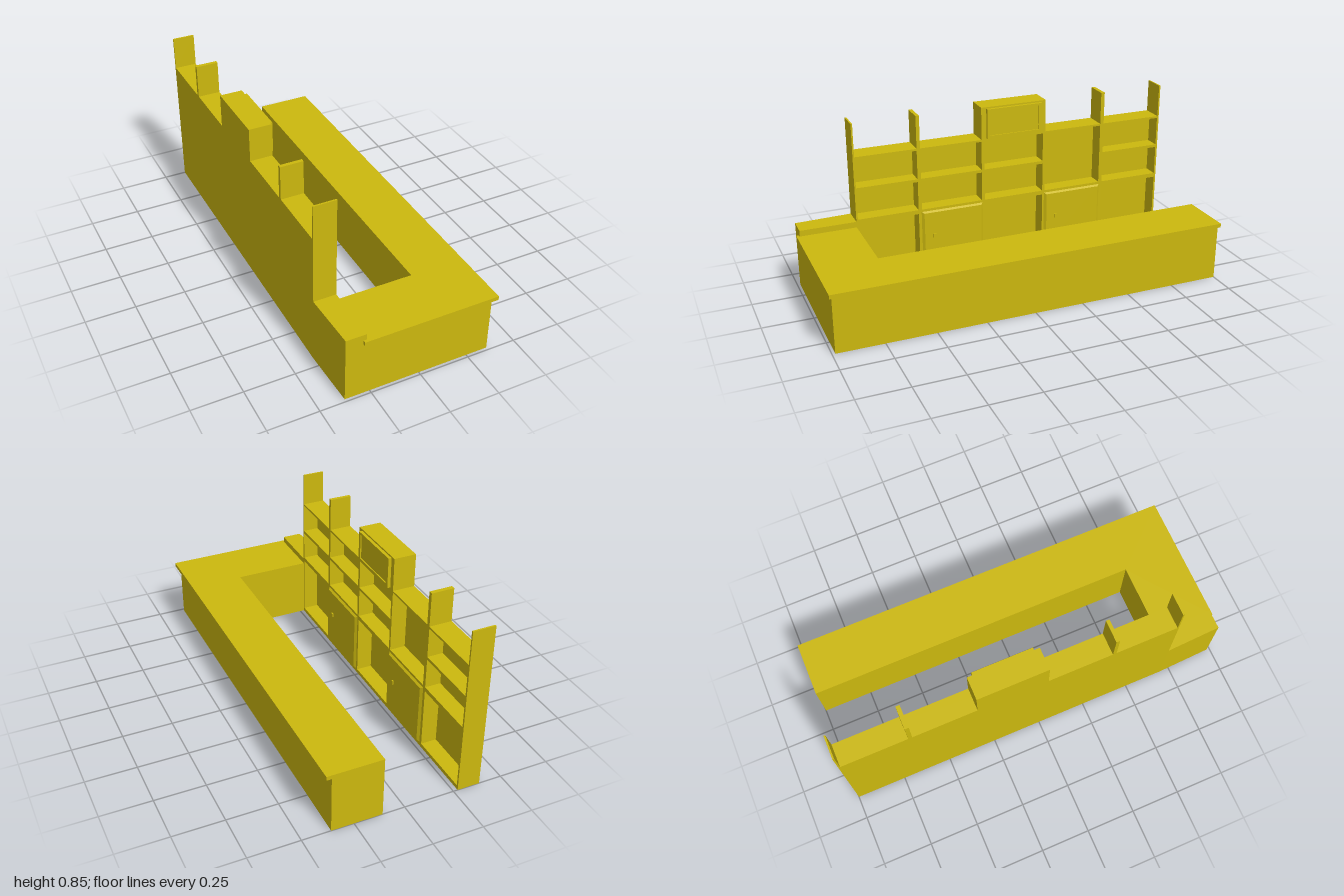
import * as THREE from 'three';

const solid = new THREE.MeshStandardMaterial({ color: 0xccb80e, flatShading: true });
const thin = solid.clone();
thin.side = THREE.DoubleSide;

const BACK = -0.385, FRONT = -0.272, RECESS = -0.352;

export function createModel() {
  const model = new THREE.Group();

  function add(name, geometry, material = solid, parent = model) {
    const mesh = new THREE.Mesh(geometry, material);
    mesh.name = name;
    parent.add(mesh);
    return mesh;
  }

  // Box between two corners; faces listed in drop (0 +x, 1 -x, 2 +y, 3 -y, 4 +z, 5 -z) are left open
  function boxGeo(x0, x1, y0, y1, z0, z1, drop = []) {
    const g = new THREE.BoxGeometry(x1 - x0, y1 - y0, z1 - z0);
    g.translate((x0 + x1) / 2, (y0 + y1) / 2, (z0 + z1) / 2);
    const index = Array.from(g.index.array);
    g.setIndex(index.filter((_, i) => !drop.includes(Math.floor(i / 6))));
    g.clearGroups();
    return g;
  }

  // Upright sheet following a plan path of [x, z] points
  function wallGeo(path, y0, y1) {
    const pos = [];
    for (let i = 0; i < path.length - 1; i++) {
      const [ax, az] = path[i], [bx, bz] = path[i + 1];
      pos.push(ax, y0, az, bx, y0, bz, bx, y1, bz, ax, y0, az, bx, y1, bz, ax, y1, az);
    }
    const g = new THREE.BufferGeometry();
    g.setAttribute('position', new THREE.Float32BufferAttribute(pos, 3));
    g.computeVertexNormals();
    return g;
  }

  const outline = (pts) => new THREE.Shape(pts.map(([x, y]) => new THREE.Vector2(x, y)));

  // Counter: hollow base and L-shaped top
  const counter = new THREE.Group();
  counter.name = 'counter';
  model.add(counter);
  add('counterBase', wallGeo([[-0.272, 0.7], [0.11, 0.7], [0.11, -1], [0.36, -1],
    [0.36, 0.985], [-0.272, 0.985]], 0, 0.29), thin, counter);
  const topShape = outline([[-0.288, -1], [0.385, -1], [0.385, 1], [0.11, 1], [0.11, -0.7], [-0.288, -0.7]]);
  const topGeo = new THREE.ExtrudeGeometry(topShape, { depth: 0.02, bevelEnabled: false });
  topGeo.rotateX(-Math.PI / 2).translate(0, 0.29, 0);
  add('counterTop', topGeo, solid, counter);

  // Raised end block joining counter and shelves
  const block = [[-0.272, 0.985], [-0.373, 0.985], [BACK, 0.7], [-0.272, 0.7]];
  add('endBlockWalls', wallGeo(block, 0, 0.34), thin, counter);
  add('endBlockStep', wallGeo([block[3], block[0]], 0.29, 0.34), thin, counter);
  const lid = new THREE.ShapeGeometry(outline(block.map(([x, z]) => [x, -z])));
  lid.rotateX(-Math.PI / 2).translate(0, 0.34, 0);
  add('endBlockLid', lid, thin, counter);

  // Back shelving: hollow body with open bottom, front sheet and recessed compartments
  const shelves = new THREE.Group();
  shelves.name = 'shelves';
  model.add(shelves);
  add('shelfBody', boxGeo(BACK, FRONT, 0, 0.68, -1, 0.7, [0, 3]), thin, shelves);

  const bays = [[0.375, 0.692], [0.03, 0.357], [-0.312, 0.014], [-0.645, -0.325], [-0.99, -0.665]];
  const face = outline([[-0.7, 0], [1, 0], [1, 0.68], [-0.7, 0.68]]);
  bays.forEach(([z0, z1], i) => {
    const hasDoor = i === 1 || i === 3;
    const rows = i === 3 ? [[0.35, 0.67]] : [[0.35, 0.503], [0.518, 0.67]];
    if (!hasDoor) rows.push([0.02, 0.328]);
    for (const [y0, y1] of rows) {
      face.holes.push(new THREE.Path([[-z1, y0], [-z1, y1], [-z0, y1], [-z0, y0]]
        .map(([u, v]) => new THREE.Vector2(u, v))));
      add('compartment', boxGeo(RECESS, FRONT, y0, y1, z0, z1, [0]), thin, shelves);
    }
    if (hasDoor) {
      // Door with bevelled edges and a small knob
      const g = boxGeo(FRONT, -0.262, 0.02, 0.337, z0 - 0.003, z1 + 0.003);
      const p = g.attributes.position, mid = (z0 + z1) / 2;
      for (let k = 0; k < p.count; k++) {
        if (p.getX(k) < -0.267) continue;
        p.setY(k, p.getY(k) + (p.getY(k) > 0.2 ? -0.008 : 0.008));
        p.setZ(k, p.getZ(k) + (p.getZ(k) > mid ? -0.012 : 0.012));
      }
      add('door', g, solid, shelves);
      const kz = z1 - 0.061;
      add('doorKnob', boxGeo(-0.262, -0.256, 0.19, 0.21, kz - 0.007, kz + 0.007), solid, shelves);
    }
  });
  const faceGeo = new THREE.ShapeGeometry(face);
  faceGeo.rotateY(Math.PI / 2).translate(FRONT, 0, 0);
  add('shelfFront', faceGeo, thin, shelves);

  // Uprights above the top shelf
  for (const [z0, z1] of [[0.692, 0.7], [0.357, 0.375], [-0.665, -0.645], [-1, -0.992]]) {
    add('upright', boxGeo(BACK, FRONT, 0.68, 0.85, z0, z1), solid, shelves);
  }

  // Top cabinet carrying a framed screen
  add('topCabinet', boxGeo(BACK, FRONT, 0.68, 0.85, -0.325, 0.03), solid, shelves);
  const frame = outline([[-0.003, 0.685], [0.298, 0.685], [0.298, 0.842], [-0.003, 0.842]]);
  frame.holes.push(new THREE.Path([[0.013, 0.702], [0.013, 0.83], [0.28, 0.83], [0.28, 0.702]]
    .map(([u, v]) => new THREE.Vector2(u, v))));
  const frameGeo = new THREE.ExtrudeGeometry(frame, { depth: 0.016, bevelEnabled: false });
  frameGeo.rotateY(Math.PI / 2).translate(FRONT, 0, 0);
  add('screenFrame', frameGeo, solid, shelves);
  add('screen', boxGeo(FRONT, -0.262, 0.7, 0.832, -0.282, -0.011), solid, shelves);

  return model;
}
